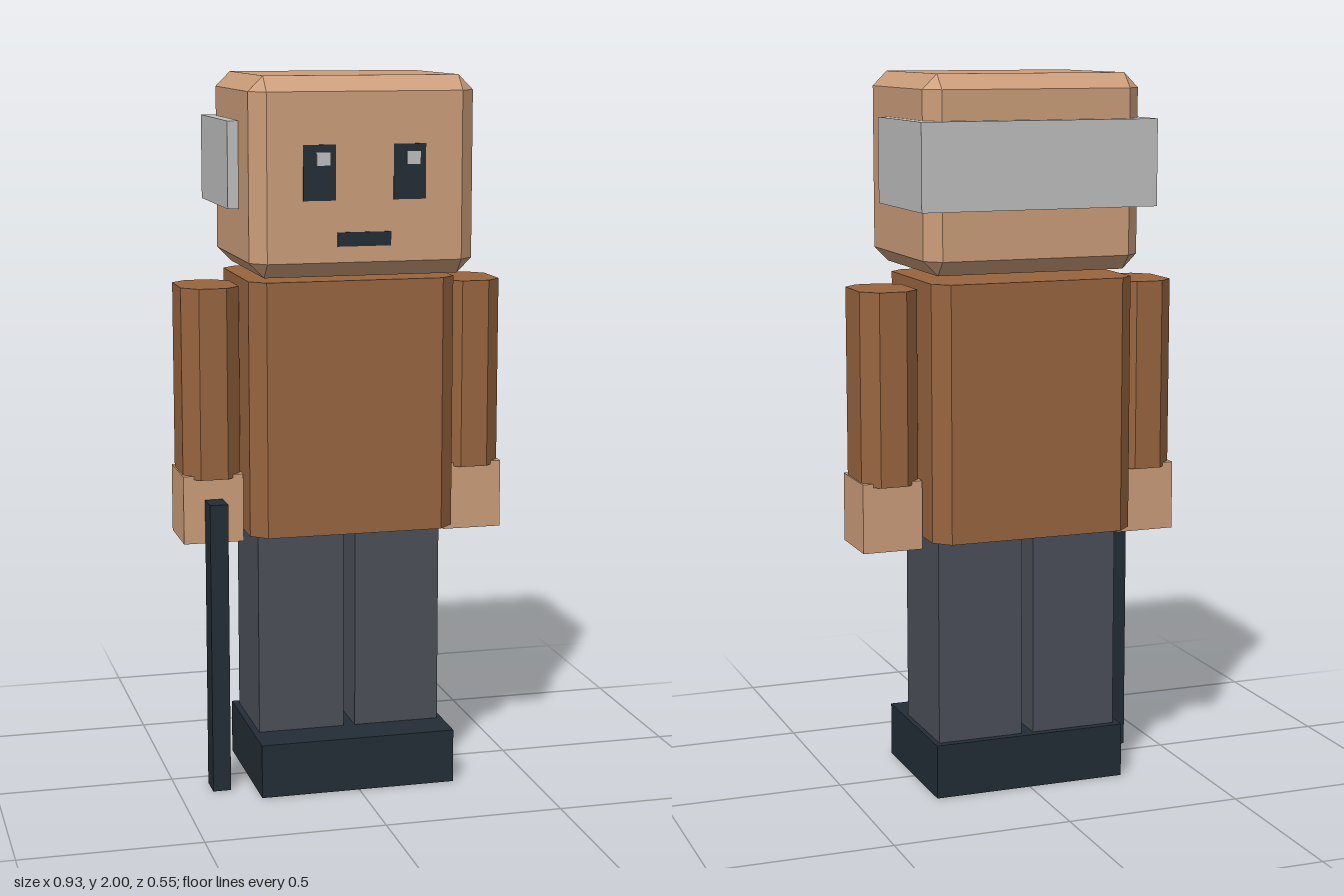
import * as THREE from 'three';
import { ConvexGeometry } from 'three/addons/geometries/ConvexGeometry.js';

const material = (name, color) => Object.assign(new THREE.MeshStandardMaterial({ color }), { name });

export function createModel() {
  const model = new THREE.Group();
  model.name = 'blockFigure';
  const skin = material('skin', 0xcc9e7a);
  const brown = material('brownShirt', 0x98653f);
  const slate = material('slateTrousers', 0x4b4f58);
  const dark = material('darkNavy', 0x232d36);
  const grey = material('greyHair', 0xbfbfbf);

  function add(name, geometry, mat) {
    const mesh = new THREE.Mesh(geometry, mat);
    mesh.name = name;
    model.add(mesh);
    return mesh;
  }

  // Plain box given by its limits on each axis
  function box(name, mat, [x0, x1], [y0, y1], [z0, z1]) {
    const mesh = add(name, new THREE.BoxGeometry(x1 - x0, y1 - y0, z1 - z0), mat);
    mesh.position.set((x0 + x1) / 2, (y0 + y1) / 2, (z0 + z1) / 2);
  }

  // Upright block with its four vertical edges cut off
  function prism(name, mat, [x0, x1], [y0, y1], [z0, z1], c) {
    const outline = [
      [x0 + c, z0], [x1 - c, z0], [x1, z0 + c], [x1, z1 - c],
      [x1 - c, z1], [x0 + c, z1], [x0, z1 - c], [x0, z0 + c],
    ];
    const shape = new THREE.Shape(outline.map(([x, z]) => new THREE.Vector2(x, -z)));
    const geometry = new THREE.ExtrudeGeometry(shape, { depth: y1 - y0, bevelEnabled: false });
    geometry.rotateX(-Math.PI / 2).translate(0, y0, 0);
    add(name, geometry, mat);
  }

  // Block with every edge and corner cut off
  function chamferBox(name, mat, w, h, d, c, center) {
    const points = [];
    for (const sx of [-1, 1]) for (const sy of [-1, 1]) for (const sz of [-1, 1]) {
      for (let axis = 0; axis < 3; axis++) {
        const p = [w / 2 - c, h / 2 - c, d / 2 - c];
        p[axis] += c;
        points.push(new THREE.Vector3(sx * p[0], sy * p[1], sz * p[2]));
      }
    }
    add(name, new ConvexGeometry(points), mat).position.set(...center);
  }

  // Head with hair wrapped around the back
  chamferBox('head', skin, 0.62, 0.535, 0.516, 0.041, [0, 1.7325, 0.01]);
  box('hair', grey, [-0.34, 0.336], [1.64, 1.877], [-0.275, 0.098]);

  // Face plates
  for (const [side, x] of [['right', -0.171], ['left', 0.078]]) {
    box(side + 'Eye', dark, [x, x + 0.089], [1.672, 1.82], [0.265, 0.271]);
    box(side + 'EyeGlint', grey, [x + 0.036, x + 0.073], [1.765, 1.8], [0.268, 0.274]);
  }
  box('mouth', dark, [-0.077, 0.071], [1.549, 1.587], [0.265, 0.271]);

  // Torso
  prism('torso', brown, [-0.292, 0.29], [0.735, 1.445], [-0.254, 0.173], 0.042);

  // Arms, hands and legs on both sides
  for (const [side, s] of [['right', -1], ['left', 1]]) {
    const span = (a, b) => (s > 0 ? [a, b] : [-b, -a]);
    prism(side + 'Arm', brown, span(0.296, 0.459), [0.885, 1.42], [-0.152, 0.064], 0.043);
    box(side + 'Hand', skin, span(0.293, 0.463), [0.702, 0.895], [-0.135, 0.047]);
    box(side + 'Leg', slate, span(0.017, 0.263), [0.15, 0.74], [-0.181, 0.098]);
  }

  // Shoes and walking stick
  box('shoes', dark, [-0.281, 0.277], [0, 0.153], [-0.203, 0.215]);
  box('walkingStick', dark, [-0.404, -0.353], [0, 0.828], [0.055, 0.129]);

  return model;
}
